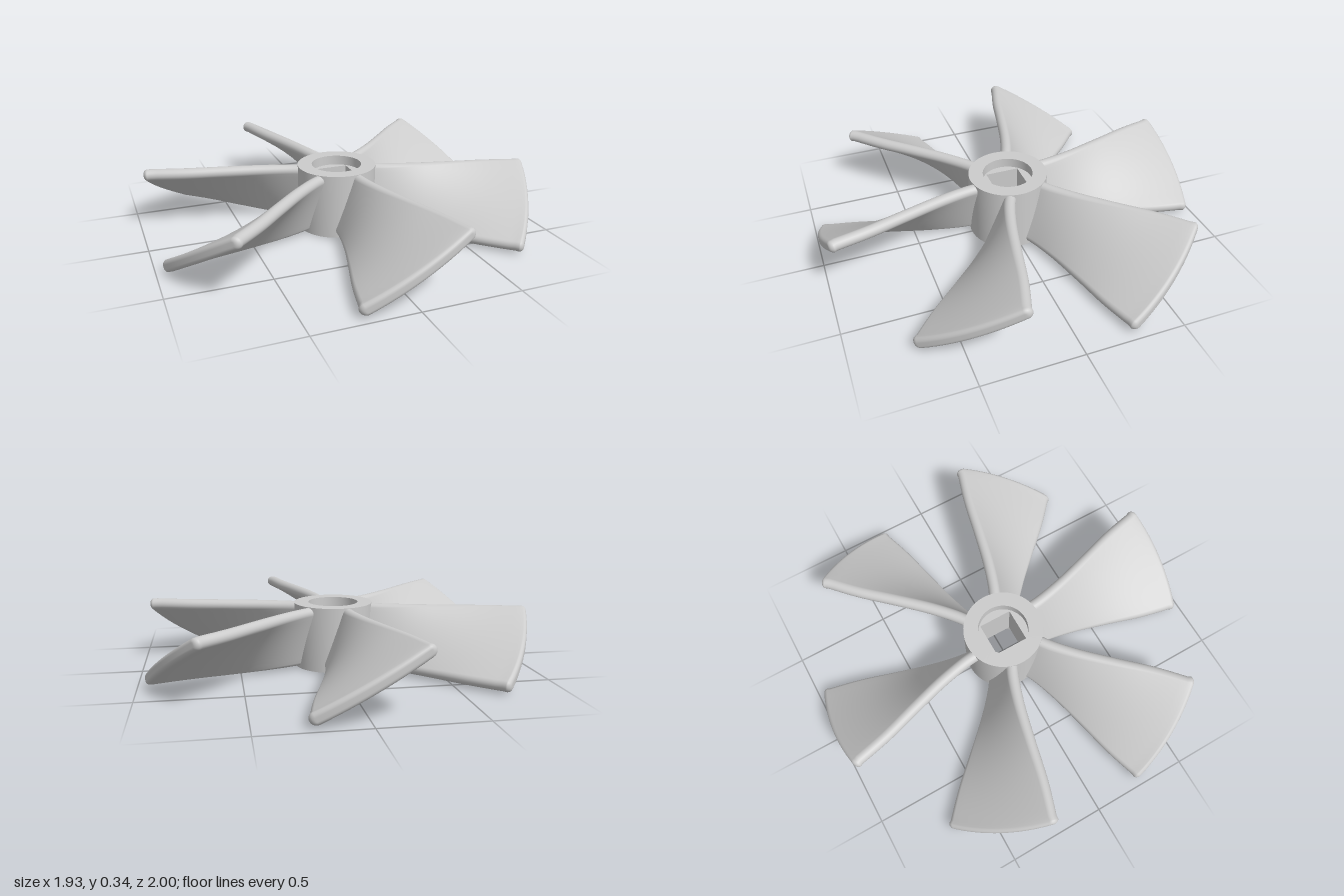
import * as THREE from 'three';
import { toCreasedNormals } from 'three/addons/utils/BufferGeometryUtils.js';

const HEIGHT = 0.335, HUB_R = 0.205, BORE_R = 0.13, BORE_DEPTH = 0.05, SQUARE = 0.0875;
const BLADES = 6, EDGE = 0.03, FILLET = 0.02;

// Half the sideways spread of a blade's centre line, by radius (narrow root, wide tip)
const spread = new THREE.CatmullRomCurve3([
  [0.16, 0.042], [0.25, 0.05], [0.4, 0.08], [0.6, 0.135], [0.8, 0.193], [1.0, 0.237],
].map(([r, w]) => new THREE.Vector3(r, w, 0)));

// Upper half of a round-ended section: end arc, flat side, end arc
function halfSection(len, rho) {
  const pts = [], arc = 6, flat = 12;
  for (let i = 0; i <= arc; i++) {
    const a = Math.PI - (i / arc) * Math.PI / 2;
    pts.push([-len + rho * Math.cos(a), rho * Math.sin(a)]);
  }
  for (let i = 1; i < flat; i++) pts.push([-len + 2 * len * i / flat, rho]);
  for (let i = 0; i <= arc; i++) {
    const a = Math.PI / 2 - (i / arc) * Math.PI / 2;
    pts.push([len + rho * Math.cos(a), rho * Math.sin(a)]);
  }
  return pts;
}

// Twisted blade along +z: sections of constant height wrapped on cylinders of growing radius
function bladeGeometry() {
  const rings = [];
  for (let i = 0; i <= 28; i++) {
    const p = spread.getPoint(i / 28);
    rings.push({ r: Math.min(p.x, 1 - FILLET), w: p.y, rho: EDGE });
    if (p.x >= 1 - FILLET) break;
  }
  const wTip = rings[rings.length - 1].w;
  for (let i = 1; i <= 5; i++) {
    const a = (i / 5) * Math.PI / 2;
    rings.push({
      r: 1 - FILLET * (1 - Math.sin(a)), w: wTip, rho: EDGE - FILLET * (1 - Math.cos(a)),
    });
  }

  const pos = [], index = [];
  let M = 0;
  for (const { r, w, rho } of rings) {
    const rise = HEIGHT / 2 - EDGE - 0.007;
    const len = Math.hypot(w, rise), dx = w / len, dy = rise / len;
    const half = halfSection(len, rho);
    M = half.length - 1;
    const lower = half.slice(1, M).reverse().map(([s, t]) => [s, -t]);
    for (const [s, t] of [...half, ...lower]) {
      const x = s * dx - t * dy, y = s * dy + t * dx;
      pos.push(x, HEIGHT / 2 + 0.004 + y, Math.sqrt(r * r - x * x));
    }
  }
  const N = 2 * M;
  for (let i = 0; i < rings.length - 1; i++) {
    for (let j = 0; j < N; j++) {
      const a = i * N + j, b = i * N + (j + 1) % N;
      index.push(a, b + N, b, a, a + N, b + N);
    }
  }
  // Tip face, bridging the upper and lower halves of the last ring
  const base = (rings.length - 1) * N;
  for (let j = 0; j < M; j++) {
    const t0 = base + j, t1 = base + j + 1;
    const b0 = base + (N - j) % N, b1 = base + N - j - 1;
    if (j < M - 1) index.push(b0, b1, t1);
    if (j > 0) index.push(b0, t1, t0);
    else continue;
    if (j === M - 1) continue;
  }
  const g = new THREE.BufferGeometry();
  g.setAttribute('position', new THREE.Float32BufferAttribute(pos, 3));
  g.setIndex(index);
  g.computeVertexNormals();
  return g;
}

export function createModel() {
  const group = new THREE.Group();
  const material = new THREE.MeshStandardMaterial({ color: 0xcccccc });
  const add = (name, geometry) => {
    const mesh = new THREE.Mesh(geometry, material);
    mesh.name = name;
    group.add(mesh);
    return mesh;
  };

  // Hub wall with a round recess at both ends
  const profile = [
    [BORE_R, BORE_DEPTH], [BORE_R, 0], [HUB_R, 0],
    [HUB_R, HEIGHT], [BORE_R, HEIGHT], [BORE_R, HEIGHT - BORE_DEPTH],
  ].map(([x, y]) => new THREE.Vector2(x, y));
  add('hub', toCreasedNormals(new THREE.LatheGeometry(profile, 72), 0.6));

  // Hub core with the square shaft hole
  const disc = new THREE.Shape().absarc(0, 0, BORE_R, 0, Math.PI * 2, false);
  const s = SQUARE;
  disc.holes.push(new THREE.Path([[-s, -s], [-s, s], [s, s], [s, -s]]
    .map(([x, y]) => new THREE.Vector2(x, y))));
  const core = new THREE.ExtrudeGeometry(disc, {
    depth: HEIGHT - 2 * BORE_DEPTH, bevelEnabled: false, curveSegments: 36,
  });
  core.rotateX(-Math.PI / 2).translate(0, BORE_DEPTH, 0);
  add('shaftSocket', core);

  // Blades
  const blade = bladeGeometry();
  for (let i = 0; i < BLADES; i++) {
    add('blade' + (i + 1), blade).rotation.y = (i / BLADES) * Math.PI * 2;
  }
  return group;
}
